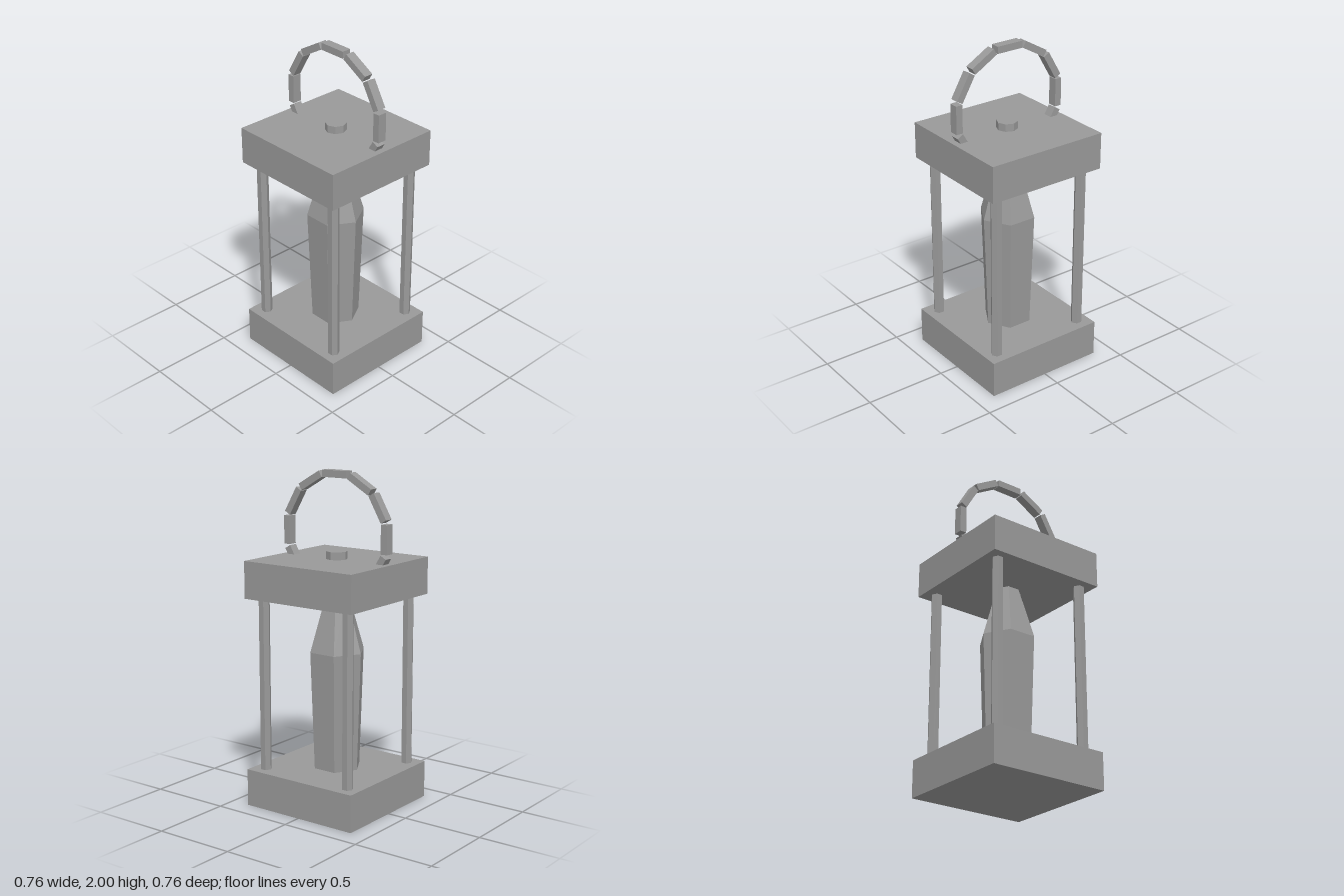
import * as THREE from 'three';

export function createModel() {
  const model = new THREE.Group();
  const grey = new THREE.MeshStandardMaterial({ color: 0x999999, flatShading: true });
  grey.name = 'stone grey';

  const add = (name, geometry, x, y, z, parent = model) => {
    const mesh = new THREE.Mesh(geometry, grey);
    mesh.name = name;
    mesh.position.set(x, y, z);
    parent.add(mesh);
    return mesh;
  };
  // Six-sided column with corners on the x axis
  const hex = (top, bottom, height, open = false) =>
    new THREE.CylinderGeometry(top, bottom, height, 6, 1, open).rotateY(Math.PI / 2);

  // Base and cap slabs
  add('base', new THREE.BoxGeometry(0.764, 0.225, 0.764), 0, 0.1125, 0);
  add('cap', new THREE.BoxGeometry(0.764, 0.222, 0.764), 0, 1.375, 0);

  // Corner posts
  const postGeometry = hex(0.034, 0.034, 1.06);
  for (const x of [-0.302, 0.302])
    for (const z of [-0.302, 0.302]) add('post', postGeometry, x, 0.745, z);

  // Crystal: slightly flared body and tapered upper part
  const crystal = new THREE.Group();
  crystal.name = 'crystal';
  crystal.position.x = -0.002;
  model.add(crystal);
  add('crystalBody', hex(0.172, 0.146, 0.72, true), 0, 0.58, 0, crystal);
  add('crystalTop', hex(0.072, 0.172, 0.335, true), 0, 1.1075, 0, crystal);

  // Knob on the cap
  add('knob', new THREE.CylinderGeometry(0.063, 0.063, 0.07, 8), 0, 1.497, 0);

  // Handle: a ring of twelve bars, its lower part sunk into the cap
  const handle = new THREE.Group();
  handle.name = 'handle';
  handle.position.y = 1.63;
  model.add(handle);
  const barGeometry = new THREE.BoxGeometry(0.042, 0.17, 0.056);
  const radius = 0.349;
  for (let i = 0; i < 12; i++) {
    const angle = (i * Math.PI) / 6;
    const bar = add('handleBar', barGeometry, radius * Math.cos(angle), radius * Math.sin(angle), 0, handle);
    bar.rotation.z = angle;
  }

  return model;
}
